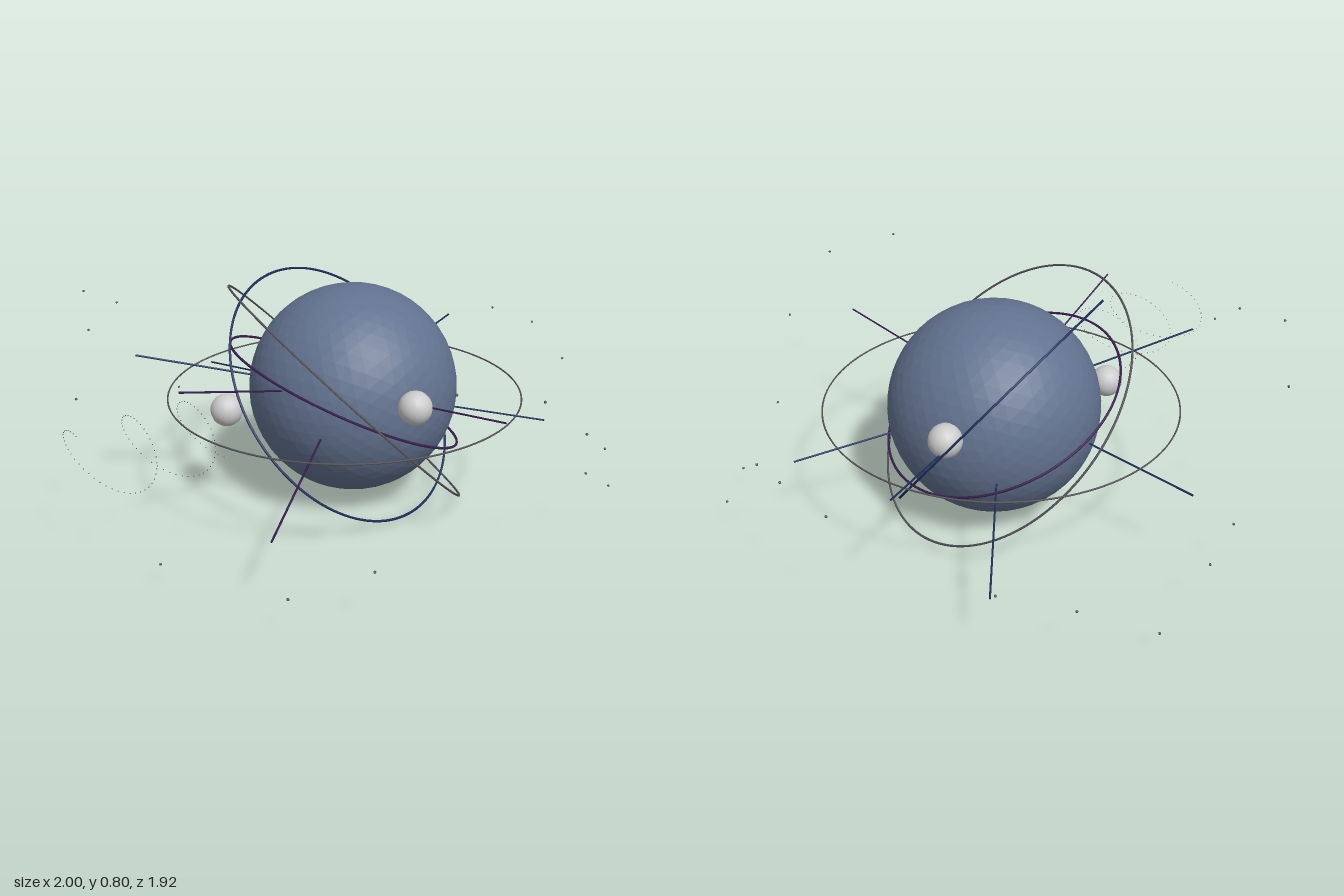
import * as THREE from 'three';

const mat = (color, flatShading = false) => new THREE.MeshStandardMaterial({ color, flatShading });
const grey = mat(0xcccccc);
const darkGrey = mat(0x55555a);
const navy = mat(0x1f2f5c);
const purple = mat(0x38204f);
const slate = mat(0x62728f, true);

// Shared centre of rings and spokes
const HUB = new THREE.Vector3(0.03, 0.405, -0.01);
const Y = new THREE.Vector3(0, 1, 0);

export function createModel() {
  const model = new THREE.Group();

  function add(name, geometry, material, position, parent = model) {
    const mesh = new THREE.Mesh(geometry, material);
    mesh.name = name;
    mesh.position.copy(position);
    parent.add(mesh);
    return mesh;
  }

  // Faceted core
  add('core', new THREE.IcosahedronGeometry(0.377, 8), slate, new THREE.Vector3(0.078, 0.407, -0.01));

  // Orbit rings: radius, tube, plane normal
  function ring(name, radius, tube, normal, material) {
    const mesh = add(name, new THREE.TorusGeometry(radius, tube, 6, 128), material, HUB);
    mesh.quaternion.setFromUnitVectors(new THREE.Vector3(0, 0, 1), new THREE.Vector3(...normal).normalize());
  }
  ring('levelRing', 0.633, 0.003, [0, 1, 0], darkGrey);
  ring('tiltedRing', 0.558, 0.004, [0.6, 0.707, 0.375], darkGrey);
  ring('steepRing', 0.5, 0.0045, [0.05, 0.62, 0.78], navy);
  ring('innerRing', 0.446, 0.0045, [0.37, 0.9, 0.22], purple);

  // Small satellites
  const satellite = new THREE.SphereGeometry(0.058, 16, 12);
  [[-0.33, 0.378, -0.25], [0.463, 0.481, -0.06], [-0.083, 0.474, 0.387]]
    .forEach((p) => add('satellite', satellite, grey, new THREE.Vector3(...p)));

  // Spokes radiating out of the core
  const spokes = new THREE.Group();
  spokes.name = 'spokes';
  model.add(spokes);
  function spoke(tip, material) {
    const end = new THREE.Vector3(...tip);
    const start = HUB.clone().lerp(end, 0.35);
    const dir = end.clone().sub(start);
    const mesh = add('spoke', new THREE.CylinderGeometry(0.0035, 0.0035, dir.length(), 6), material,
      start.clone().add(end).multiplyScalar(0.5), spokes);
    mesh.quaternion.setFromUnitVectors(Y, dir.normalize());
  }
  [[0.107, 0.312, -0.783], [0.786, 0.218, -0.425], [0.822, 0.481, -0.104],
    [0.558, 0.257, 0.518], [-0.517, 0.576, -0.5]].forEach((p) => spoke(p, navy));
  [[-0.1, 0.522, 0.745], [-0.763, 0.255, 0.366], [-0.725, 0.613, 0.048 * -1]].forEach((p) => spoke(p, purple));

  // Dotted coil trailing off to one side
  const coil = new THREE.Group();
  coil.name = 'dottedCoil';
  model.add(coil);
  const bead = new THREE.IcosahedronGeometry(0.002, 0);
  const turns = 2.5, beads = 100;
  for (let i = 0; i <= beads; i++) {
    const t = (i / beads) * turns;
    const a = t * Math.PI * 2;
    add('coilBead', bead, darkGrey, new THREE.Vector3(
      -0.998 + 0.197 * t + 0.029 * Math.sin(a),
      0.408 + 0.103 * Math.cos(a),
      -0.215 + 0.05 * t - 0.18 * Math.sin(a)), coil);
  }

  // Scattered specks around the outside
  const specks = new THREE.Group();
  specks.name = 'specks';
  model.add(specks);
  const speck = new THREE.IcosahedronGeometry(0.005, 0);
  [[-0.45, 0.727, -0.85], [-0.22, 0.61, -0.955], [0.03, 0.195, -0.905], [0.275, 0.2, -0.92],
    [0.53, 0.09, -0.87], [-0.6, 0.66, -0.64], [-0.79, 0.5, -0.485], [0.675, 0.19, -0.66],
    [0.82, 0.27, -0.465], [0.93, 0.49, 0.23], [0.81, 0.415, 0.44], [0.73, 0.13, 0.69],
    [0.51, 0.1, 0.82], [0.26, 0.25, 0.85], [0.03, 0.5, 0.955], [-0.22, 0.68, 0.94],
    [-0.42, 0.72, 0.77], [-0.63, 0.2, 0.65], [-0.83, 0.14, 0.49], [-0.875, 0.09, -0.01],
    [0.995, 0.49, 0.0]]
    .forEach((p) => add('speck', speck, darkGrey, new THREE.Vector3(...p), specks));

  return model;
}
